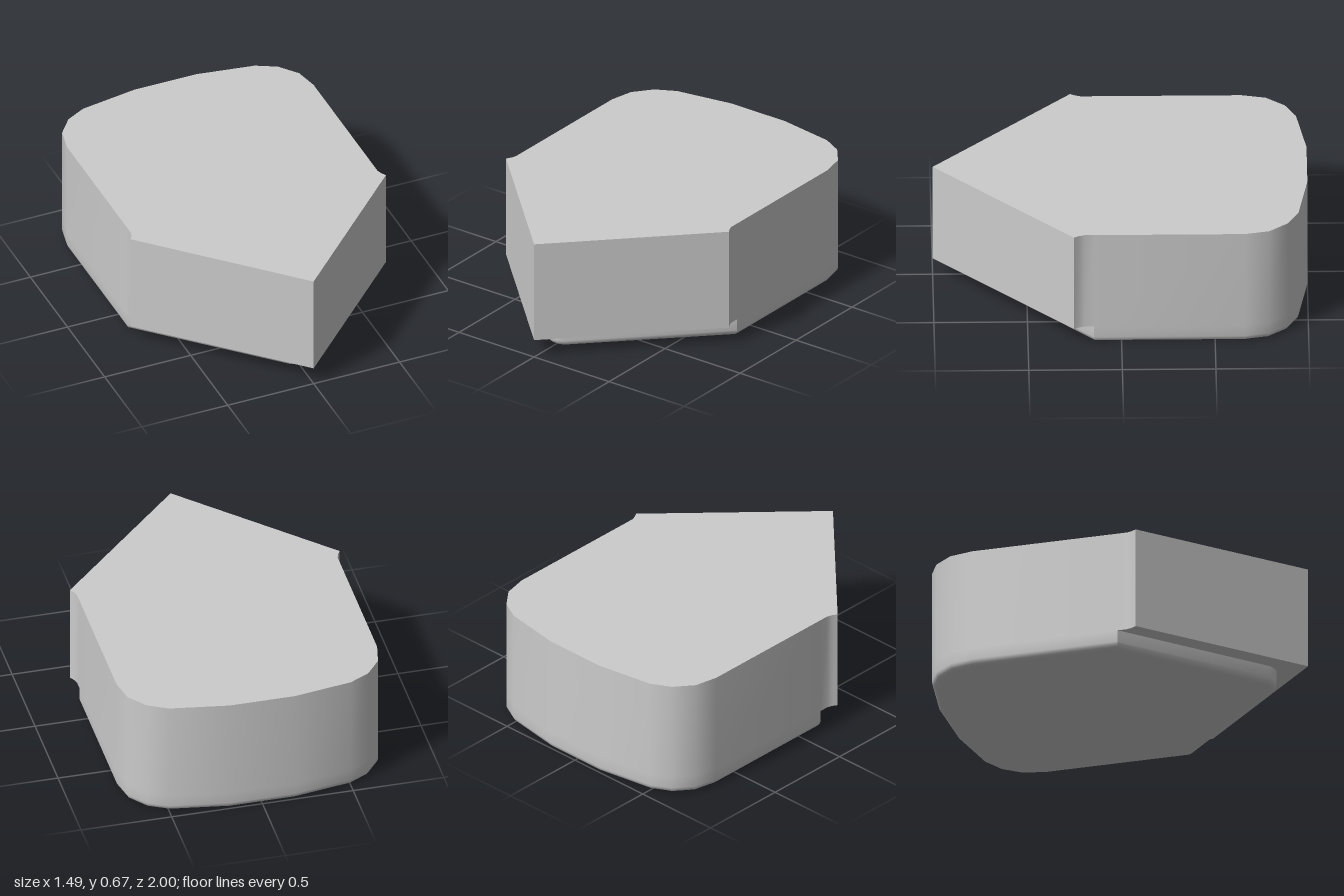
import * as THREE from 'three';
import { toCreasedNormals } from 'three/addons/utils/BufferGeometryUtils.js';

const HEIGHT = 0.67, LEDGE = 0.1, ROUND = 0.035;

// Half outlines as [x, z], from the front tip round to the back
const backHalf = [[0.718, 0.148], [0.718, -0.66], [0.69, -0.79], [0.61, -0.89], [0.5, -0.948], [0.18, -1]];
const upperFront = [[0, 1], [0.743, 0.255], [0.727, 0.228], [0.718, 0.2]];
const lowerFront = [[0.018, 0.82], [0.055, 0.806]];

const mirror = (pts) => pts.map(([x, z]) => [-x, z]);
const closeOutline = (half) => [...half, ...mirror(half.filter((p) => p[0] > 0)).reverse()];

// Move every edge of an outline inwards by d, with mitred corners
function inset(pts, d) {
  const n = pts.length;
  const normal = (a, b) => {
    const dx = b[0] - a[0], dz = b[1] - a[1], l = Math.hypot(dx, dz);
    return [-dz / l, dx / l];
  };
  return pts.map((p, i) => {
    const a = normal(pts[(i + n - 1) % n], p), b = normal(p, pts[(i + 1) % n]);
    const k = d / (1 + a[0] * b[0] + a[1] * b[1]);
    return [p[0] - (a[0] + b[0]) * k, p[1] - (a[1] + b[1]) * k];
  });
}

// Wall between two matching outlines
function addWall(out, lo, y0, hi, y1) {
  lo.forEach((a, i) => {
    const j = (i + 1) % lo.length, b = lo[j], c = hi[j], d = hi[i];
    out.push(a[0], y0, a[1], b[0], y0, b[1], c[0], y1, c[1]);
    out.push(a[0], y0, a[1], c[0], y1, c[1], d[0], y1, d[1]);
  });
}

// Flat face at height y, facing up (1) or down (-1)
function addFace(out, pts, y, facing) {
  const contour = pts.map(([x, z]) => new THREE.Vector2(x, z));
  for (const t of THREE.ShapeUtils.triangulateShape(contour, [])) {
    const [a, b, c] = t.map((i) => pts[i]);
    const ny = (b[1] - a[1]) * (c[0] - a[0]) - (b[0] - a[0]) * (c[1] - a[1]);
    for (const p of ny * facing > 0 ? [a, b, c] : [a, c, b]) out.push(p[0], y, p[1]);
  }
}

export function createModel() {
  const upper = closeOutline([...upperFront, ...backHalf]);
  const lower = closeOutline([...lowerFront, ...backHalf]);
  const v = [];

  // Base with a rounded bottom rim
  const steps = 4;
  const ring = (i) => {
    const a = (i / steps) * Math.PI / 2;
    return { pts: inset(lower, ROUND * (1 - Math.sin(a))), y: ROUND * (1 - Math.cos(a)) };
  };
  addFace(v, ring(0).pts, 0, -1);
  for (let i = 0; i < steps; i++) {
    const a = ring(i), b = ring(i + 1);
    addWall(v, a.pts, a.y, b.pts, b.y);
  }
  addWall(v, lower, ROUND, lower, LEDGE);

  // Underside of the overhanging pointed front
  const corner = backHalf[0];
  addFace(v, [
    ...mirror([...upperFront.slice(1), corner]).reverse(), ...upperFront, corner,
    ...[...lowerFront].reverse(), ...mirror(lowerFront),
  ], LEDGE, -1);

  // Upper walls and flat top
  addWall(v, upper, LEDGE, upper, HEIGHT);
  addFace(v, upper, HEIGHT, 1);

  const geometry = new THREE.BufferGeometry();
  geometry.setAttribute('position', new THREE.Float32BufferAttribute(v, 3));
  const body = new THREE.Mesh(
    toCreasedNormals(geometry, THREE.MathUtils.degToRad(35)),
    new THREE.MeshStandardMaterial({ color: 0xcccccc }),
  );
  body.name = 'pointedBlock';

  const group = new THREE.Group();
  group.name = 'pointedBlockModel';
  group.add(body);
  return group;
}
